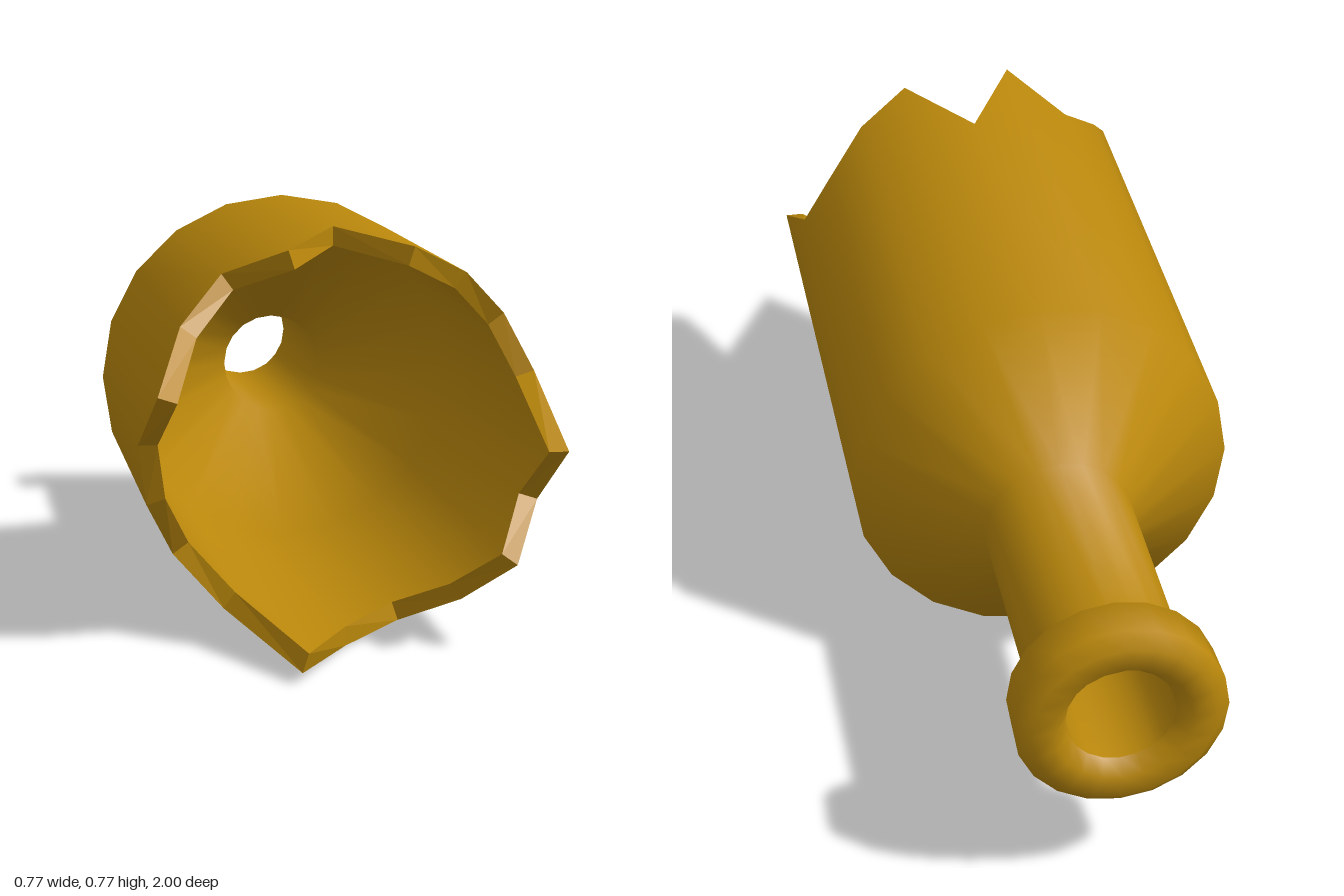
import * as THREE from 'three';

const SIDES = 20;
const CENTRE_Y = 0.388;

// Depth of the broken edge at each side, clockwise from the top
const JAGGED = [
  0.55, 0.77, 0.71, 0.64, 0.66, 0.88, 0.70, 0.79, 0.68, 0.60,
  0.72, 1.00, 0.70, 0.60, 0.67, 0.71, 0.92, 0.77, 0.68, 0.81,
];

// Skins a profile of [radius, z] rings round the z axis;
// a ring whose z is null follows the broken edge
function ringSurface(name, profile, material, flat = false) {
  const positions = [];
  const indices = [];
  profile.forEach(([r, z], row) => {
    for (let k = 0; k < SIDES; k++) {
      const a = (k / SIDES) * Math.PI * 2;
      positions.push(r * Math.sin(a), CENTRE_Y + r * Math.cos(a), z === null ? JAGGED[k] : z);
      if (row < profile.length - 1) {
        const i = row * SIDES + k;
        const j = row * SIDES + ((k + 1) % SIDES);
        indices.push(i, j, i + SIDES, j, j + SIDES, i + SIDES);
      }
    }
  });
  let geometry = new THREE.BufferGeometry();
  geometry.setAttribute('position', new THREE.Float32BufferAttribute(positions, 3));
  geometry.setIndex(indices);
  if (flat) geometry = geometry.toNonIndexed();
  geometry.computeVertexNormals();
  const mesh = new THREE.Mesh(geometry, material);
  mesh.name = name;
  return mesh;
}

export function createModel() {
  const group = new THREE.Group();
  group.name = 'brokenBottle';
  const glass = new THREE.MeshStandardMaterial({ color: 0xb8860b });

  group.add(
    // Outer wall: body, sloping shoulder and neck
    ringSurface('outerWall', [
      [0.387, null], [0.387, -0.2], [0.15, -0.39], [0.15, -0.89],
    ], glass),

    // Thick lip round the mouth, rolling into the bore
    ringSurface('lip', [
      [0.15, -0.89], [0.2, -0.89], [0.203, -0.975], [0.175, -1],
      [0.13, -1], [0.105, -0.97],
    ], glass),

    // Inner wall: bore, inner shoulder and inside of the body
    ringSurface('innerWall', [
      [0.105, -0.97], [0.105, -0.38], [0.35, -0.18], [0.35, null],
    ], glass),

    // Thickness of the glass along the jagged break
    ringSurface('brokenEdge', [[0.35, null], [0.387, null]], glass, true),
  );
  return group;
}
